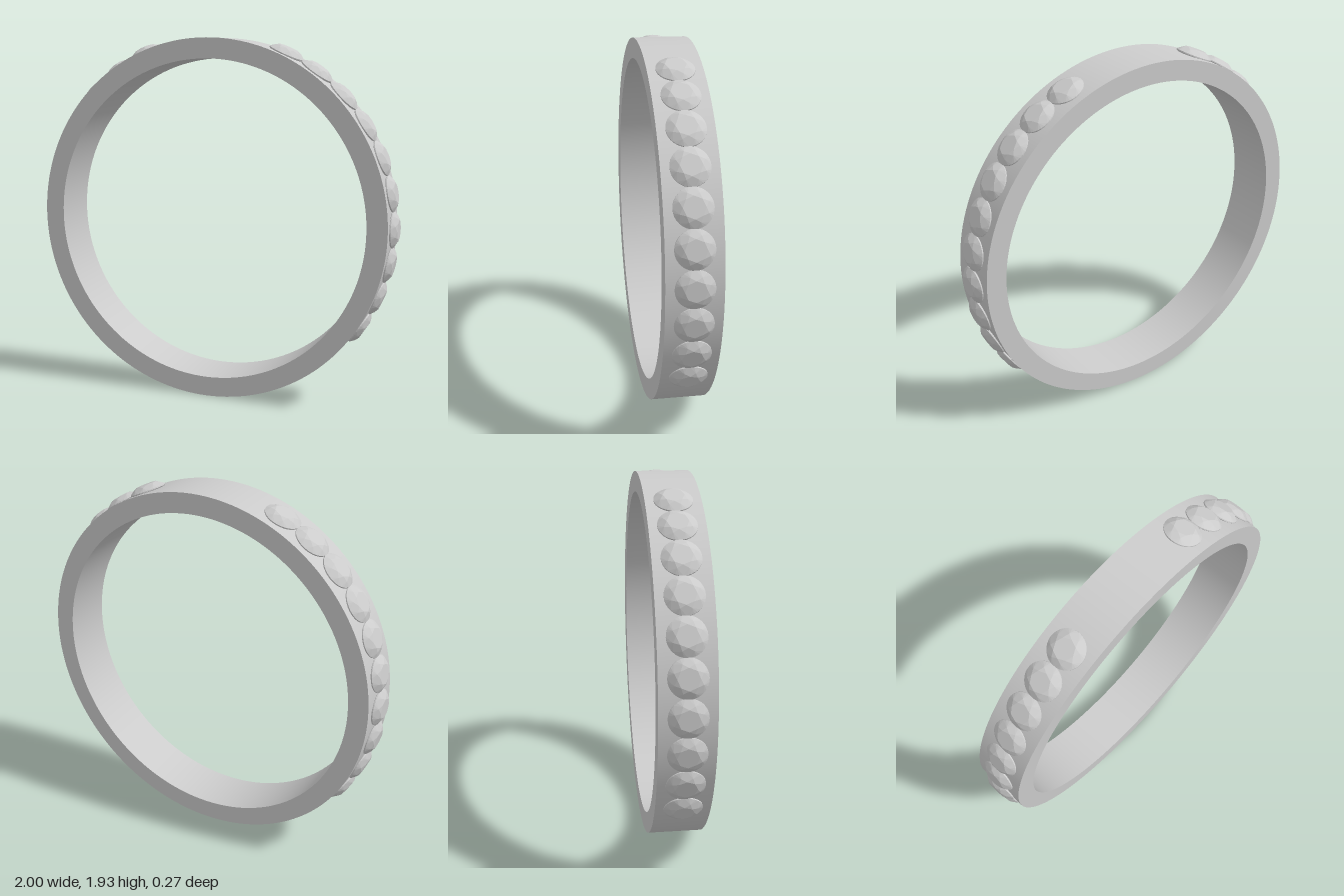
import * as THREE from 'three';
import { toCreasedNormals } from 'three/addons/utils/BufferGeometryUtils.js';

const OUTER = 0.967, INNER = 0.86, HALF_WIDTH = 0.137;
const GEM_RADIUS = 0.095, GEM_SEAT = 0.97, GEM_STEP = 11;

// Brilliant-cut stone with its girdle at y = 0 and its table facing +y
function gemGeometry() {
  const positions = [];
  const point = (r, y, turn) => {
    const t = turn * Math.PI * 2;
    return [r * Math.sin(t), y, r * Math.cos(t)];
  };
  const tri = (a, b, c) => positions.push(...a, ...b, ...c);

  const table = k => point(0.053, 0.03, k / 8);
  const star = k => point(0.072, 0.0213, (k + 0.5) / 8);
  const girdle = j => point(GEM_RADIUS, 0.003, j / 32);
  const girdleLow = j => point(GEM_RADIUS, -0.003, j / 32);
  const culet = [0, -0.075, 0];

  for (let k = 0; k < 8; k++) {
    // Table, star facet and kite facet
    tri([0, 0.03, 0], table(k), table(k + 1));
    tri(table(k), star(k), table(k + 1));
    tri(table(k), star(k - 1), girdle(4 * k));
    tri(table(k), girdle(4 * k), star(k));
    for (let j = 4 * k; j < 4 * k + 4; j++) {
      // Upper girdle facets, girdle wall and pavilion
      tri(star(k), girdle(j), girdle(j + 1));
      tri(girdle(j), girdleLow(j), girdleLow(j + 1));
      tri(girdle(j), girdleLow(j + 1), girdle(j + 1));
      tri(culet, girdleLow(j + 1), girdleLow(j));
    }
  }
  const geometry = new THREE.BufferGeometry();
  geometry.setAttribute('position', new THREE.Float32BufferAttribute(positions, 3));
  geometry.computeVertexNormals();
  return geometry;
}

export function createModel() {
  const model = new THREE.Group();
  model.name = 'ring';

  // Plain band with a rectangular section
  const section = [
    [INNER, -HALF_WIDTH], [OUTER, -HALF_WIDTH], [OUTER, HALF_WIDTH],
    [INNER, HALF_WIDTH], [INNER, -HALF_WIDTH],
  ].map(([x, y]) => new THREE.Vector2(x, y));
  const bandGeometry = toCreasedNormals(new THREE.LatheGeometry(section, 160), 0.6);
  bandGeometry.rotateX(Math.PI / 2);
  const band = new THREE.Mesh(bandGeometry, new THREE.MeshStandardMaterial({ color: 0xcccccc }));
  band.name = 'band';
  band.position.y = OUTER;
  model.add(band);

  // Ten stones set along each side of the band
  const geometry = gemGeometry();
  const gemMaterial = new THREE.MeshStandardMaterial({ color: 0xcccccc, flatShading: true });
  for (const [side, name] of [[1, 'leftStones'], [-1, 'rightStones']]) {
    const row = new THREE.Group();
    row.name = name;
    row.position.y = OUTER;
    for (let i = -3; i <= 6; i++) {
      const angle = THREE.MathUtils.degToRad(i * GEM_STEP);
      const gem = new THREE.Mesh(geometry, gemMaterial);
      gem.name = 'stone';
      gem.position.set(side * GEM_SEAT * Math.cos(angle), GEM_SEAT * Math.sin(angle), 0);
      gem.rotation.z = side * (angle - Math.PI / 2);
      row.add(gem);
    }
    model.add(row);
  }
  return model;
}
